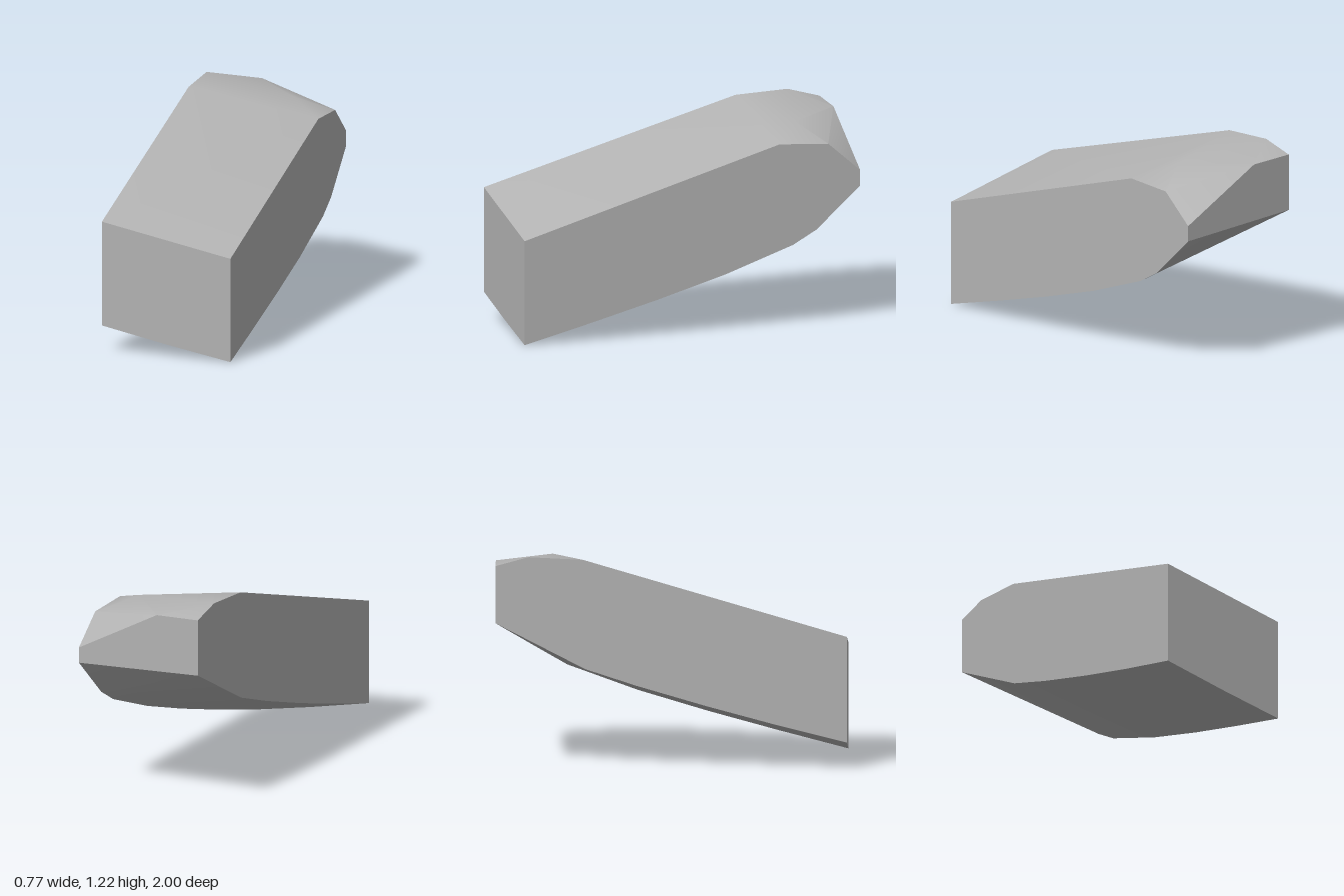
import * as THREE from 'three';
import { ConvexGeometry } from 'three/addons/geometries/ConvexGeometry.js';
import { toCreasedNormals } from 'three/addons/utils/BufferGeometryUtils.js';

const W = 0.387; // half width

// Side profiles as [z, y], front bottom first, then round the underside to the top
const rightProfile = [
  [1, 0], [0.6, 0.105], [0.2, 0.215], [-0.2, 0.335], [-0.6, 0.48], [-0.74, 0.56],
  [-1, 0.8], [-1, 0.89], [-0.81, 1.055], [-0.52, 1.07], [1, 0.605],
];
const leftProfile = [
  [1, 0.152], [0.6, 0.252], [0.2, 0.36], [-0.2, 0.477], [-0.49, 0.572],
  [-1, 0.835], [-1, 1.163], [-0.81, 1.215], [-0.5, 1.2], [1, 0.76],
];
// Corners between the two flat sides: top ridge, back wall and front lower edge
const innerCorners = [[0.175, 1.15, -0.68], [-0.12, 1.156, -1], [0, 0.072, 1]];

export function createModel() {
  const stone = new THREE.MeshStandardMaterial({ color: 0xb2b2b2 });
  const side = (profile, x) => profile.map(([z, y]) => new THREE.Vector3(x, y, z));

  // Sloping block with a chamfered rear end
  const points = [
    ...side(rightProfile, W),
    ...side(leftProfile, -W),
    ...innerCorners.map((p) => new THREE.Vector3(...p)),
  ];
  const geometry = toCreasedNormals(new ConvexGeometry(points), THREE.MathUtils.degToRad(35));
  const block = new THREE.Mesh(geometry, stone);
  block.name = 'slopingBlock';

  const model = new THREE.Group();
  model.name = 'chamferedBlock';
  model.add(block);
  return model;
}
